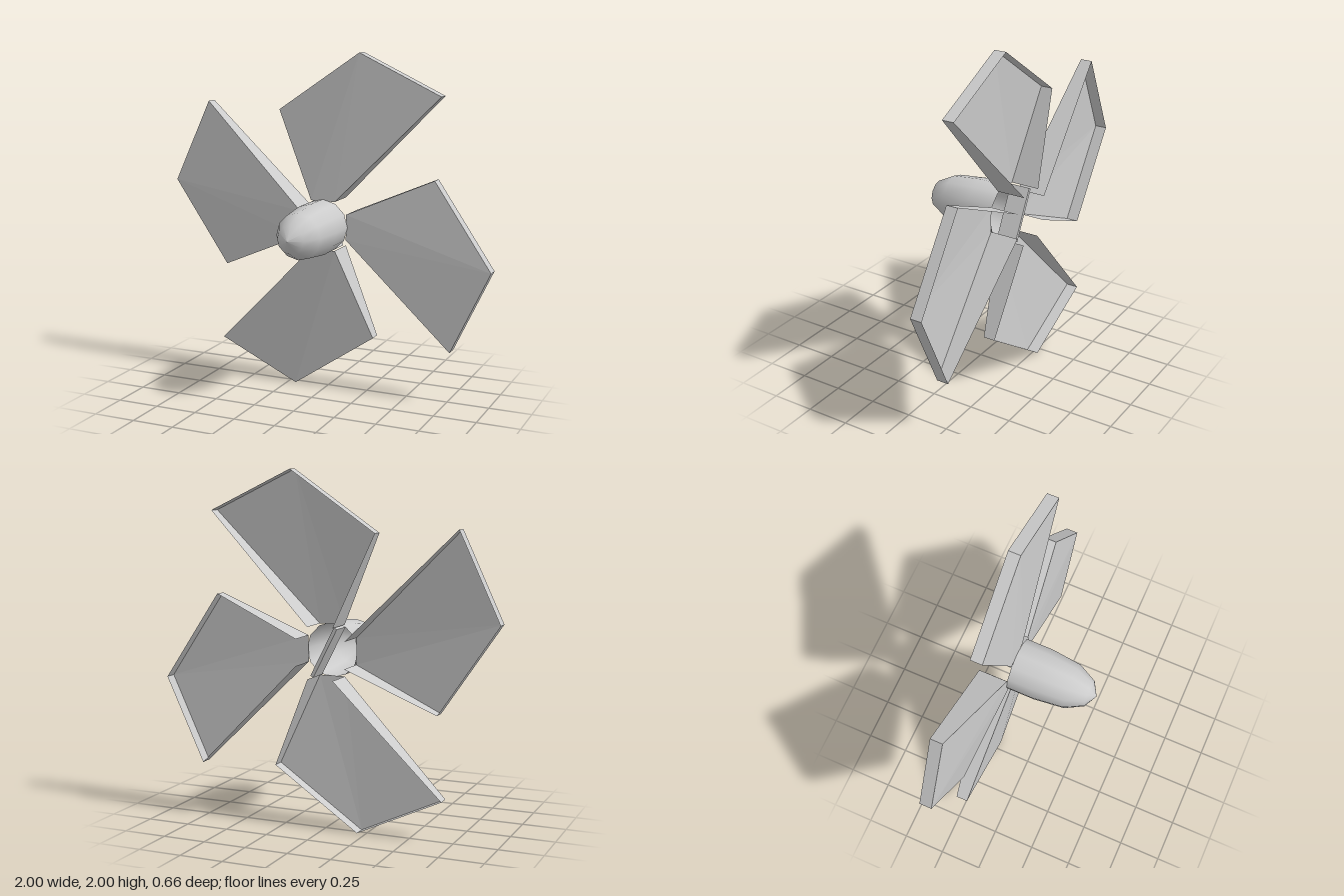
import * as THREE from 'three';

const grey = (opts = {}) =>
  new THREE.MeshStandardMaterial({ color: 0xcccccc, side: THREE.DoubleSide, ...opts });

// Open-backed blade: a front skin with walls on every edge except the root
function bladeShell(outline) {
  const n = outline.length, pos = [];
  const tri = (a, b, c) => pos.push(...a, ...b, ...c);
  const front = outline.map(([x, y, zFront]) => [x, y, zFront]);
  const back = outline.map(([x, y, , zBack]) => [x, y, zBack]);
  for (let k = 1; k < n - 1; k++) { // skin fans out from the tip corner
    tri(front[2], front[(2 + k) % n], front[(3 + k) % n]);
  }
  for (let i = 0; i < n - 1; i++) {
    tri(front[i], back[i], back[i + 1]);
    tri(front[i], back[i + 1], front[i + 1]);
  }
  const g = new THREE.BufferGeometry();
  g.setAttribute('position', new THREE.Float32BufferAttribute(pos, 3));
  g.computeVertexNormals();
  return g;
}

export function createModel() {
  const model = new THREE.Group();
  model.name = 'propeller';
  const rotor = new THREE.Group();
  rotor.name = 'rotor';
  rotor.position.y = 1;
  model.add(rotor);

  // Hollow bullet-shaped spinner, open at the back
  const profile = [[0.155, -0.16], [0.155, 0], [0.135, 0.18], [0.08, 0.285], [0, 0.33]]
    .map(([r, z]) => new THREE.Vector2(r, z));
  const spinner = new THREE.Mesh(new THREE.LatheGeometry(profile, 12).rotateX(Math.PI / 2), grey());
  spinner.name = 'spinner';
  rotor.add(spinner);

  // Blades: x, y, front z, back z of each corner; walls are deeper at the root
  const bladeGeometry = bladeShell([
    [0.075, 0.145, -0.16, -0.33],
    [0.69, 0.77, -0.21, -0.28],
    [0.2, 1, -0.21, -0.28],
    [-0.3, 0.66, -0.21, -0.28],
    [-0.075, 0.145, -0.16, -0.33],
  ]);
  const flatGrey = grey({ flatShading: true });
  for (let i = 0; i < 4; i++) {
    const blade = new THREE.Mesh(bladeGeometry, flatGrey);
    blade.name = 'blade' + (i + 1);
    blade.rotation.z = i * Math.PI / 2;
    rotor.add(blade);
  }

  // Thin cross plate joining two opposite blade roots behind the spinner
  const plate = new THREE.Mesh(new THREE.BoxGeometry(0.31, 0.02, 0.12), flatGrey);
  plate.name = 'crossPlate';
  plate.position.z = -0.22;
  plate.rotation.z = Math.atan2(0.145, -0.075);
  rotor.add(plate);

  return model;
}
